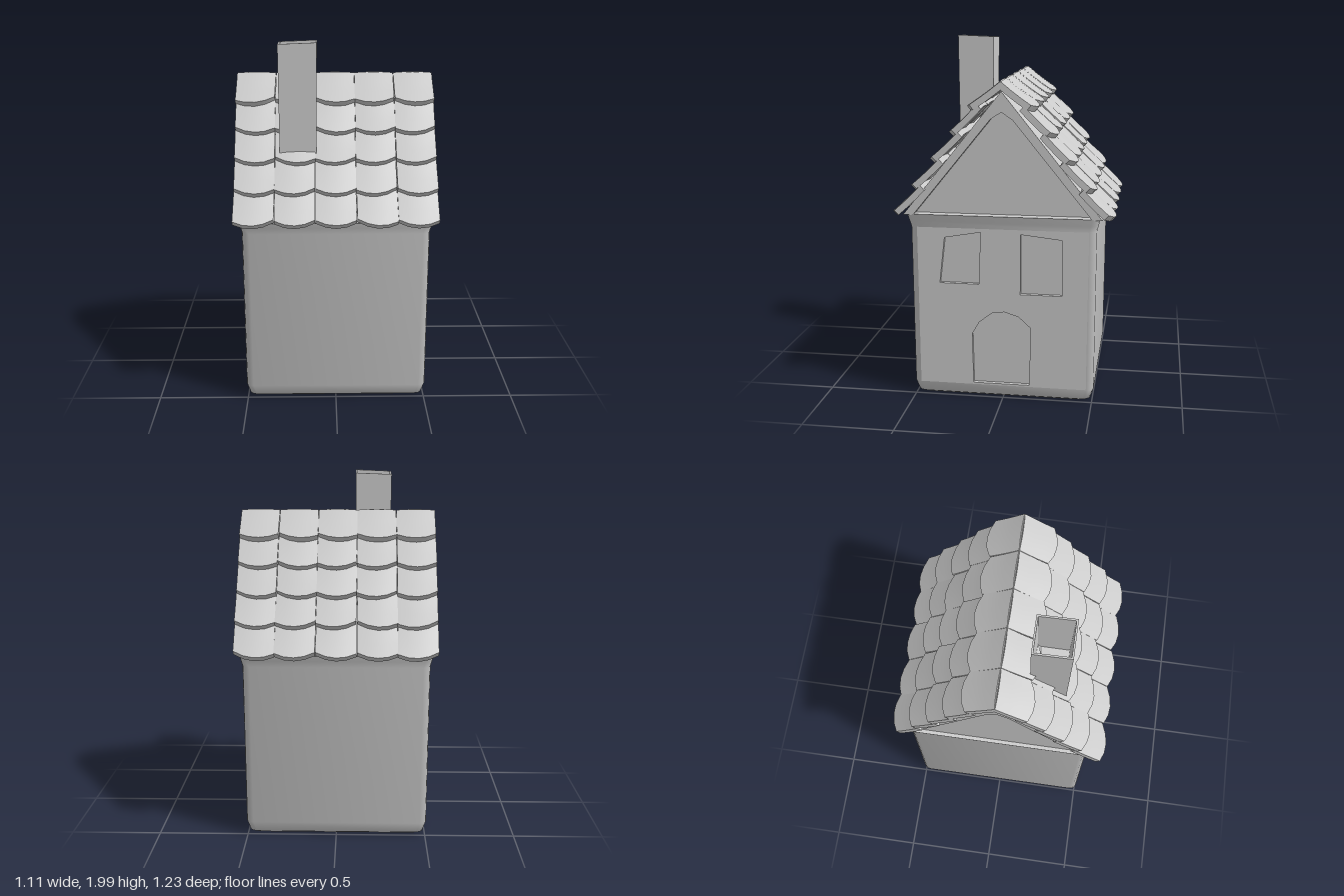
import * as THREE from 'three';
import { toCreasedNormals } from 'three/addons/utils/BufferGeometryUtils.js';

const material = new THREE.MeshStandardMaterial({ color: 0xcccccc });

function part(name, geometry, parent) {
  const mesh = new THREE.Mesh(geometry, material);
  mesh.name = name;
  parent.add(mesh);
  return mesh;
}

// Move every vertex of a geometry by a rule
function warp(geometry, rule) {
  const p = geometry.attributes.position;
  const v = new THREE.Vector3();
  for (let i = 0; i < p.count; i++) {
    rule(v.fromBufferAttribute(p, i));
    p.setXYZ(i, v.x, v.y, v.z);
  }
  geometry.computeVertexNormals();
  return geometry;
}

// Outline given as [z, y] on the side wall; shapes are drawn in (-z, y)
const sidePoints = (pts) => pts.map(([z, y]) => new THREE.Vector2(-z, y));

// Extrude a [z, y] outline along x
function extrudeX(pts, x0, x1, holes = []) {
  const shape = new THREE.Shape(sidePoints(pts));
  shape.holes = holes.map((h) => new THREE.Path(sidePoints(h)));
  const geo = new THREE.ExtrudeGeometry(shape, { depth: x1 - x0, bevelEnabled: false });
  return geo.rotateY(Math.PI / 2).translate(x0, 0, 0);
}

const CORNER = 0.04, PANEL_BOTTOM = 0.08, PANEL_TOP = 0.985;

// Rounded square walls lofted upwards, open where the side panel sits
function wallsGeometry() {
  const rings = [[0.005, 0], [0.005, 0.465], [0.02, 0.49], [PANEL_BOTTOM, 0.508], [PANEL_TOP, 0.513],
    [1.02, 0.522], [1.06, 0.532], [1.06, 0]];
  const seg = 3, n = 4 * (seg + 1);
  const pos = [], index = [];
  for (const [y, half] of rings) {
    const r = half ? CORNER : 0;
    for (let k = 0; k < 4; k++) {
      const sx = k < 2 ? 1 : -1, sz = k === 0 || k === 3 ? 1 : -1;
      for (let s = 0; s <= seg; s++) {
        const a = (k + s / seg) * Math.PI / 2;
        pos.push(sx * (half - r) + r * Math.sin(a), y, sz * (half - r) + r * Math.cos(a));
      }
    }
  }
  for (let j = 0; j < rings.length - 1; j++) {
    for (let i = 0; i < n; i++) {
      if (i === seg && rings[j][0] === PANEL_BOTTOM) continue;
      const a = j * n + i, b = j * n + (i + 1) % n, c = b + n, d = a + n;
      if (j < rings.length - 2) index.push(a, b, d);
      else { index.push(a, b, d); continue; }
      if (j > 0) index.push(c, d, b);
      else index.splice(-3, 3, c, d, b);
    }
  }
  const geo = new THREE.BufferGeometry();
  geo.setAttribute('position', new THREE.Float32BufferAttribute(pos, 3));
  geo.setIndex(index);
  return toCreasedNormals(geo, 0.8);
}

// Curved roof tile; origin at the middle of its lower outer edge, +z downhill
function tileGeometry(width, length, random) {
  const thick = 0.035;
  const geo = new THREE.BoxGeometry(width, thick, length, 4, 1, 3);
  geo.translate(0, -thick / 2, -length / 2);
  const skew = (random() - 0.5) * 0.02, lift = (random() - 0.5) * 0.008;
  warp(geo, (v) => {
    const u = v.x / (width / 2), t = 1 + v.z / length;
    v.y += 0.012 * (t - 0.5) ** 2 - 0.006 * u * u + lift * u * t;
    v.z += t * (skew * u - 0.035 * u * u);
    v.x += skew * 0.3 * t;
  });
  return toCreasedNormals(geo, 0.6);
}

export function createModel() {
  const house = new THREE.Group();
  house.name = 'house';

  // Walls
  part('walls', wallsGeometry(), house);

  // Side wall with recessed windows and door
  const leftWindow = [[0.35, 0.67], [0.32, 0.93], [0.12, 0.965], [0.13, 0.67]];
  const rightWindow = [[-0.10, 0.96], [-0.33, 0.935], [-0.33, 0.62], [-0.10, 0.62]];
  const door = [[0.165, 0.09], [0.17, 0.38], [0.13, 0.45], [0.06, 0.505], [-0.01, 0.515],
    [-0.09, 0.49], [-0.155, 0.43], [-0.155, 0.3], [-0.15, 0.09]];
  const lean = (v) => { v.x += 0.005 * (v.y - PANEL_BOTTOM) / (PANEL_TOP - PANEL_BOTTOM); };
  const outline = [[0.468, PANEL_BOTTOM], [-0.468, PANEL_BOTTOM], [-0.473, PANEL_TOP], [0.473, PANEL_TOP]];
  part('sideWall', warp(extrudeX(outline, 0.478, 0.508, [leftWindow, rightWindow, door]), lean), house);
  const recesses = { leftWindow, rightWindow, door };
  for (const [name, pts] of Object.entries(recesses)) {
    part(name, warp(extrudeX(pts, 0.47, 0.485), lean), house);
  }

  // Gable, set back on the door side
  const gable = [[0.51, 1.05], [-0.51, 1.05], [-0.07, 1.59], [0, 1.64], [0.07, 1.59]];
  part('gable', extrudeX(gable, -0.51, 0.475), house);

  // Roof boards under the tiles
  const boards = [[0.545, 1.055], [0, 1.735], [-0.545, 1.055], [-0.49, 1.055],
    [-0.06, 1.585], [0, 1.625], [0.06, 1.585], [0.49, 1.055]];
  part('roofBoards', extrudeX(boards, -0.53, 0.53), house);

  // Overlapping tiles on both slopes
  let seed = 7;
  const random = () => (seed = (seed * 16807) % 2147483647) / 2147483647;
  for (const side of [0, 1]) {
    const slope = new THREE.Group();
    slope.name = side ? 'backRoofTiles' : 'frontRoofTiles';
    slope.rotation.y = side * Math.PI;
    house.add(slope);
    for (let row = 0; row < 5; row++) {
      for (let col = 0; col < 5; col++) {
        const tile = part('roofTile', tileGeometry(0.22, 0.235, random), slope);
        tile.position.set((col - 2) * 0.222, 1.65 - 0.147 * row, 0.192 + 0.105 * row);
        tile.rotation.x = row === 0 ? 0.64 : 0.77 + (random() - 0.5) * 0.03;
      }
    }
  }

  // Hollow chimney with a slightly crooked top
  const profile = [[0.1, 1.37], [0.105, 1.99], [0.095, 1.99], [0.085, 1.61], [0, 1.61]]
    .map(([half, y]) => new THREE.Vector2(half * Math.SQRT2, y));
  const flue = new THREE.LatheGeometry(profile, 4).rotateY(Math.PI / 4);
  warp(flue, (v) => { if (v.y > 1.9) v.y += 0.04 * (v.x + v.z); });
  const chimney = part('chimney', toCreasedNormals(flue, 0.3), house);
  chimney.position.set(-0.205, 0, 0.25);

  return house;
}
